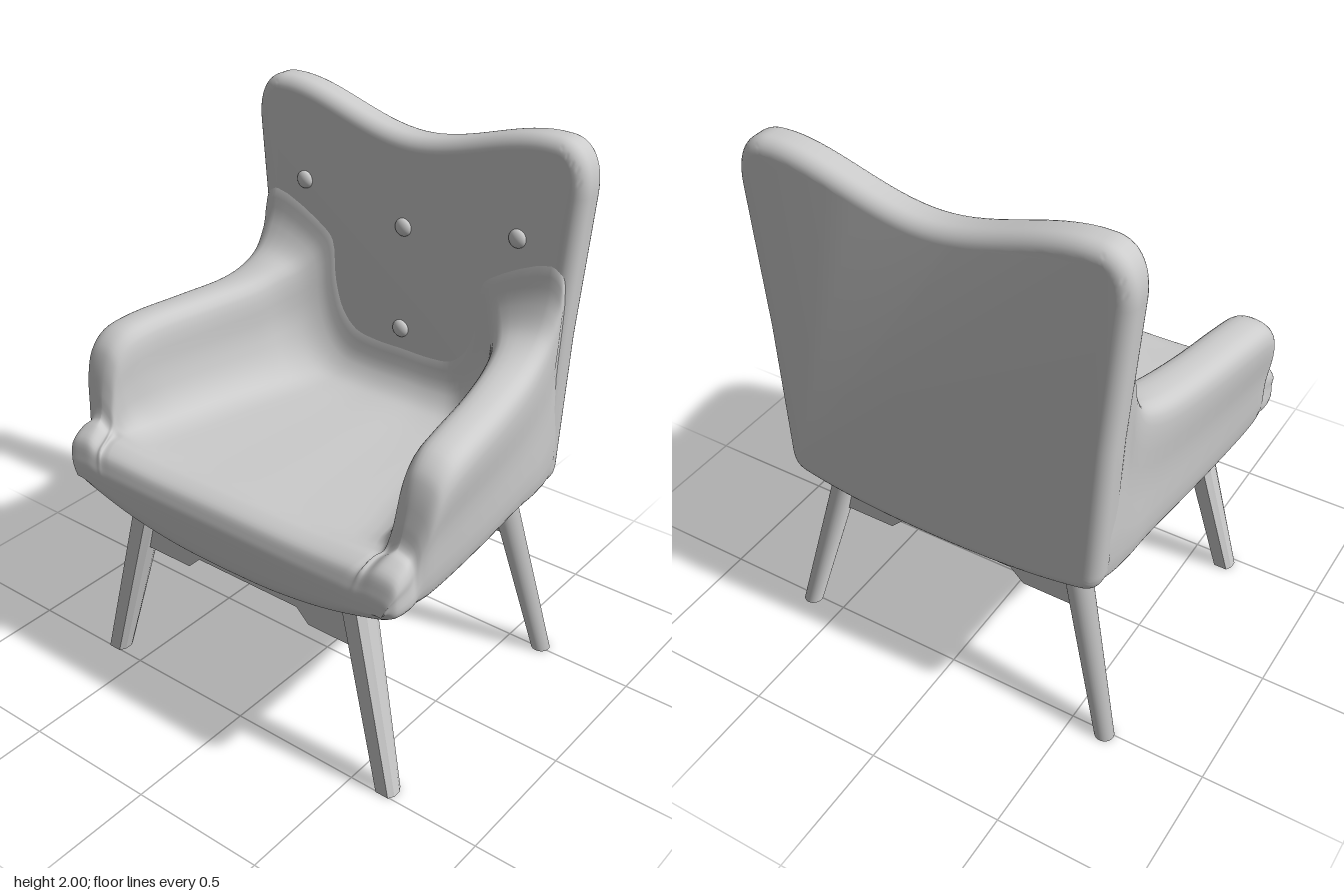
import * as THREE from 'three';
import { mergeVertices, toCreasedNormals } from 'three/addons/utils/BufferGeometryUtils.js';

const material = new THREE.MeshStandardMaterial({ color: 0xcccccc, roughness: 0.8 });

function addMesh(parent, name, geometry) {
  const mesh = new THREE.Mesh(geometry, material);
  mesh.name = name;
  parent.add(mesh);
  return mesh;
}

// Upholstered tub (seat and arms): one U-shaped section per row, front to back
// [z, armTop, outerTop, outerLow, innerWall, seatEdge, seatY, sideBottom, middleBottom]
const ROWS = [
  [0.568, 0.87, 0.69, 0.68, 0.56, 0.50, 0.855, 0.80, 0.69],
  [0.55, 0.925, 0.705, 0.70, 0.57, 0.52, 0.895, 0.785, 0.668],
  [0.50, 0.96, 0.71, 0.71, 0.58, 0.54, 0.918, 0.782, 0.66],
  [0.465, 0.98, 0.70, 0.708, 0.595, 0.54, 0.92, 0.78, 0.66],
  [0.445, 1.06, 0.715, 0.708, 0.60, 0.54, 0.92, 0.778, 0.66],
  [0.42, 1.16, 0.738, 0.71, 0.60, 0.53, 0.918, 0.777, 0.66],
  [0.39, 1.22, 0.75, 0.712, 0.595, 0.52, 0.916, 0.775, 0.66],
  [0.33, 1.262, 0.757, 0.71, 0.585, 0.51, 0.914, 0.772, 0.66],
  [0.22, 1.28, 0.748, 0.70, 0.57, 0.48, 0.912, 0.765, 0.66],
  [0.00, 1.285, 0.713, 0.675, 0.53, 0.43, 0.91, 0.753, 0.657],
  [-0.20, 1.295, 0.675, 0.648, 0.48, 0.37, 0.91, 0.742, 0.655],
  [-0.30, 1.325, 0.657, 0.636, 0.45, 0.33, 0.918, 0.736, 0.654],
  [-0.37, 1.375, 0.647, 0.63, 0.41, 0.29, 0.94, 0.73, 0.653],
  [-0.42, 1.47, 0.642, 0.622, 0.36, 0.25, 1.0, 0.725, 0.653],
  [-0.45, 1.60, 0.635, 0.617, 0.30, 0.20, 1.12, 0.722, 0.653],
  [-0.51, 1.62, 0.62, 0.605, 0.28, 0.18, 1.15, 0.724, 0.66],
];

function tubRing([z, top, w, wl, inner, fx, seat, ye, yb]) {
  const h = Math.min(1, (top - ye) / 0.3);
  const innerTop = top - Math.max(0, w - inner - 0.2) * 0.8;
  const bottom = (f) => [wl * f, yb + (ye - yb) * Math.pow(f, 2.4)];
  const half = [
    bottom(0), bottom(0.3), bottom(0.6), bottom(0.82), bottom(0.95),
    [wl, ye + 0.03 * h],
    [(w + wl) / 2, (ye + top) / 2],
    [w, top - 0.08 * h], [w - 0.015, top - 0.025 * h], [w - 0.055, top],
    [inner + 0.045, innerTop], [inner + 0.01, innerTop - 0.04 * h],
    [inner - 0.005, seat + (innerTop - seat) * 0.5],
    [(fx + inner) / 2 + 0.01, seat + (innerTop - seat) * 0.2],
    [fx, seat + 0.015 * h], [fx * 0.6, seat], [0, seat],
  ].map(([x, y]) => new THREE.Vector3(x, y, z));
  const right = new THREE.CatmullRomCurve3(half).getPoints(64);
  const left = right.slice(1, -1).reverse().map((p) => new THREE.Vector3(-p.x, p.y, p.z));
  return [...right, ...left];
}

function tubGeometry() {
  const rings = ROWS.map(tubRing);
  // Close the front lip by folding its outline onto a middle line
  const fold = (s, z) => rings[0].map((p) => new THREE.Vector3(p.x * (0.96 + 0.04 * s), 0.79 + (p.y - 0.79) * s, z));
  rings.unshift(fold(0, 0.575), fold(0.6, 0.574));
  const n = rings[0].length, steps = (rings.length - 1) * 4;
  const columns = rings[0].map((_, j) => new THREE.CatmullRomCurve3(rings.map((r) => r[j])).getPoints(steps));
  const positions = [], index = [];
  for (let i = 0; i <= steps; i++) {
    for (let j = 0; j < n; j++) {
      positions.push(...columns[j][i].toArray());
      if (i === steps) continue;
      const a = i * n + j, b = i * n + (j + 1) % n;
      index.push(a, a + n, b, b, a + n, b + n);
    }
  }
  const geometry = new THREE.BufferGeometry();
  geometry.setAttribute('position', new THREE.Float32BufferAttribute(positions, 3));
  geometry.setIndex(index);
  geometry.computeVertexNormals();
  return geometry;
}

// Winged backrest: outline with a dipped top edge and soft rim
function backGeometry() {
  const s = new THREE.Shape();
  s.moveTo(0, 0.65);
  s.bezierCurveTo(0.25, 0.65, 0.42, 0.67, 0.55, 0.70);
  s.quadraticCurveTo(0.605, 0.715, 0.61, 0.78);
  s.lineTo(0.635, 1.3);
  s.lineTo(0.678, 1.82);
  s.bezierCurveTo(0.685, 1.93, 0.64, 2.0, 0.56, 2.0);
  s.bezierCurveTo(0.38, 2.01, 0.2, 1.89, 0, 1.89);
  s.bezierCurveTo(-0.2, 1.89, -0.38, 2.01, -0.56, 2.0);
  s.bezierCurveTo(-0.64, 2.0, -0.685, 1.93, -0.678, 1.82);
  s.lineTo(-0.635, 1.3);
  s.lineTo(-0.61, 0.78);
  s.quadraticCurveTo(-0.605, 0.715, -0.55, 0.70);
  s.bezierCurveTo(-0.42, 0.67, -0.25, 0.65, 0, 0.65);
  const g = new THREE.ExtrudeGeometry(s, {
    depth: 0.04, bevelThickness: 0.047, bevelSize: 0.047, bevelOffset: -0.047, bevelSegments: 7, curveSegments: 16,
  });
  g.translate(0, 0, -0.526);
  g.deleteAttribute('uv');
  g.deleteAttribute('normal');
  return toCreasedNormals(mergeVertices(g, 1e-4), 0.6);
}

// Splayed leg: slide each height of a straight prism along its slanted axis
function slant(geometry, bottom, top) {
  const p = geometry.attributes.position;
  for (let i = 0; i < p.count; i++) {
    const t = p.getY(i) + 0.5;
    p.setXYZ(i,
      p.getX(i) + THREE.MathUtils.lerp(bottom[0], top[0], t),
      THREE.MathUtils.lerp(bottom[1], top[1], t),
      p.getZ(i) + THREE.MathUtils.lerp(bottom[2], top[2], t));
  }
  return geometry;
}

function frontLegGeometry(side) {
  // Chamfered rectangular section, tapering to the floor
  const g = new THREE.CylinderGeometry(1, 1, 1, 8, 1).rotateY(Math.PI / 8);
  const p = g.attributes.position;
  for (let i = 0; i < p.count; i++) {
    const up = p.getY(i) > 0, x = p.getX(i), z = p.getZ(i);
    const narrow = Math.abs(z) > 0.6 ? 1.6 : 1;
    p.setX(i, x * (up ? 0.046 : 0.038) * narrow / 0.924);
    p.setZ(i, z * (up ? 0.055 : 0.036) / 0.924);
  }
  const slanted = slant(g, [side * 0.63, 0, 0.468], [side * 0.45, 0.73, 0.42]);
  return toCreasedNormals(slanted, 0.3);
}

function backLegGeometry(side) {
  const g = new THREE.CylinderGeometry(0.049, 0.035, 1, 32);
  return slant(g, [side * 0.63, 0, -0.51], [side * 0.45, 0.71, -0.428]);
}

// Stretcher board between two legs, with a raised middle
function apronGeometry() {
  const s = new THREE.Shape([
    [-0.49, 0.5], [-0.27, 0.5], [-0.22, 0.55], [0.22, 0.55], [0.27, 0.5], [0.49, 0.5], [0.45, 0.71], [-0.45, 0.71],
  ].map(([x, y]) => new THREE.Vector2(x, y)));
  return new THREE.ExtrudeGeometry(s, { depth: 0.035, bevelEnabled: false }).translate(0, 0, -0.0175);
}

export function createModel() {
  const chair = new THREE.Group();
  chair.name = 'armchair';

  addMesh(chair, 'seatAndArms', tubGeometry());
  addMesh(chair, 'backrest', backGeometry());

  // Tufting buttons
  for (const [x, y] of [[-0.45, 1.64], [0.45, 1.64], [-0.01, 1.565], [-0.01, 1.175]]) {
    const button = addMesh(chair, 'button', new THREE.SphereGeometry(0.033, 24, 16));
    button.position.set(x, y, -0.438);
    button.scale.z = 0.6;
  }

  for (const side of [-1, 1]) {
    const label = side > 0 ? 'Left' : 'Right';
    addMesh(chair, 'front' + label + 'Leg', frontLegGeometry(side));
    addMesh(chair, 'back' + label + 'Leg', backLegGeometry(side));
  }
  addMesh(chair, 'frontApron', apronGeometry()).position.z = 0.425;
  addMesh(chair, 'backApron', apronGeometry()).position.z = -0.44;

  return chair;
}
